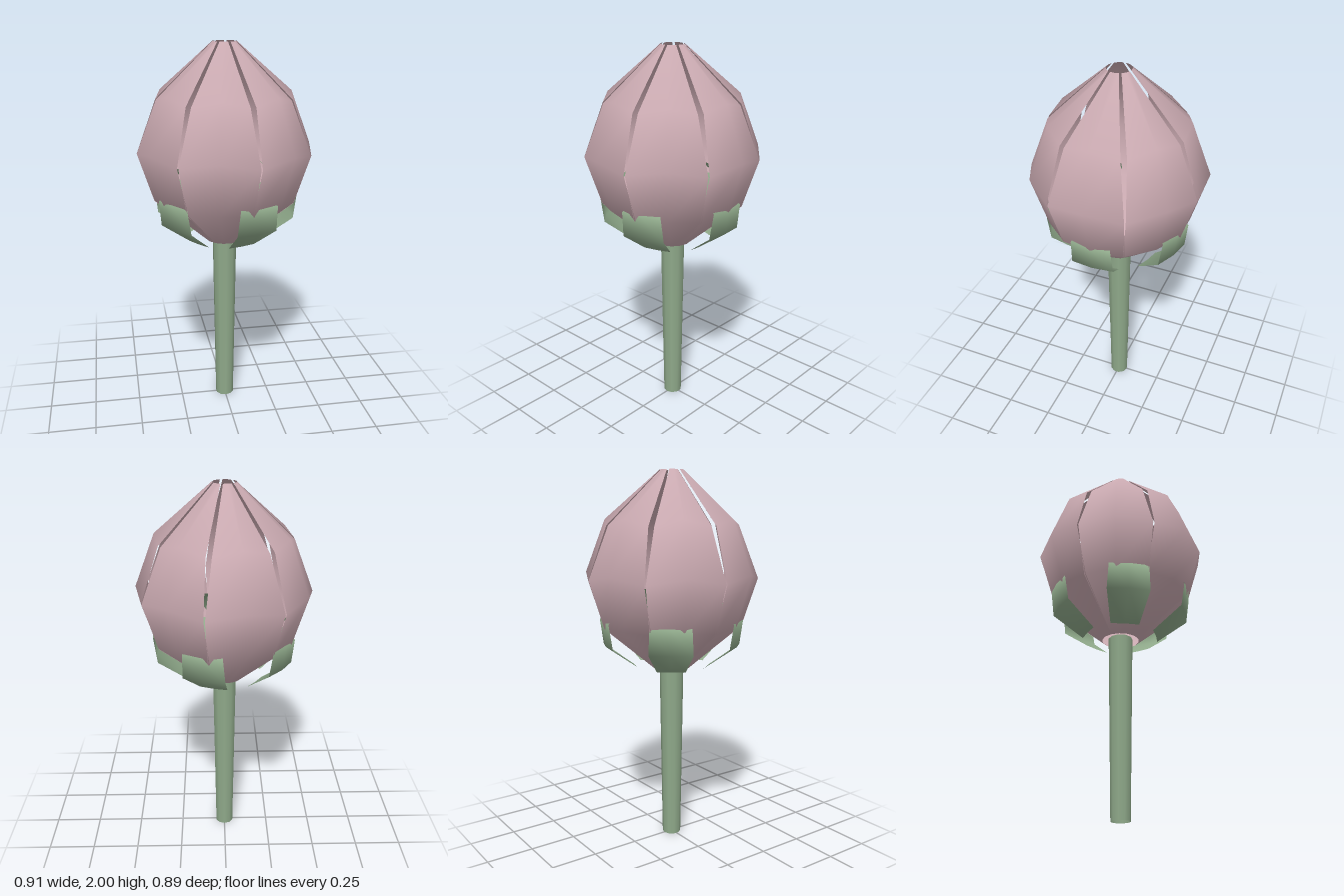
import * as THREE from 'three';

// Smooth open sheet from rows of points, each row running across the sheet
function sheet(rows) {
  const cols = rows[0].length, index = [];
  for (let i = 0; i < rows.length - 1; i++) {
    for (let j = 0; j < cols - 1; j++) {
      const a = i * cols + j, b = a + 1, c = a + cols, d = c + 1;
      index.push(a, c, b, b, c, d);
    }
  }
  const geo = new THREE.BufferGeometry();
  geo.setAttribute('position', new THREE.Float32BufferAttribute(rows.flat(2), 3));
  geo.setIndex(index);
  geo.computeVertexNormals();
  return geo;
}

// Copies of one part spaced evenly around the stem axis
function ring(name, geo, mat, count) {
  const group = new THREE.Group();
  group.name = name + 's';
  for (let i = 0; i < count; i++) {
    const mesh = new THREE.Mesh(geo, mat);
    mesh.name = name;
    mesh.rotation.y = (i / count) * Math.PI * 2;
    group.add(mesh);
  }
  return group;
}

export function createModel() {
  const pink = new THREE.MeshStandardMaterial({ color: 0xc9a9b0, side: THREE.DoubleSide });
  pink.name = 'petalPink';
  const green = new THREE.MeshStandardMaterial({ color: 0x8fa98a, side: THREE.DoubleSide });
  green.name = 'leafGreen';

  const model = new THREE.Group();
  model.name = 'flowerBud';

  // Open, slightly tapered stem
  const stem = new THREE.Mesh(new THREE.CylinderGeometry(0.065, 0.05, 0.97, 10, 1, true), green);
  stem.name = 'stem';
  stem.position.y = 0.485;
  model.add(stem);

  // Petal: radius, height, drop of the side edges, half angle added to a seventh of a half turn
  const petalRows = [
    [0.1, 0.96, 0, 0],
    [0.375, 1.2, 0.01, 0.012],
    [0.457, 1.475, 0.03, -0.008],
    [0.352, 1.75, 0.03, -0.042],
    [0.062, 2.0, 0, -0.1],
  ].map(([r, y, drop, extra]) => [-1, 0, 1].map((s) => {
    const a = s * (Math.PI / 7 + extra);
    return [r * Math.cos(a), y - drop * Math.abs(s), -r * Math.sin(a)];
  }));
  model.add(ring('petal', sheet(petalRows.map((row) => row.reverse())), pink, 7));

  // Sepal: radius, height, half width, bulge of the middle; the tip curls into the bud
  const sepalRows = [
    [0.19, 0.972, 0.075, 0.005],
    [0.35, 1.09, 0.112, 0.012],
    [0.37, 1.225, 0.105, 0.01],
    [0.2, 1.37, 0.057, 0.0],
  ].map(([r, y, w, bulge]) => [1, 0, -1].map((s) => [r + (s ? 0 : bulge), y, -s * w]));
  model.add(ring('sepal', sheet(sepalRows.map((row) => row.reverse())), green, 5));

  return model;
}
